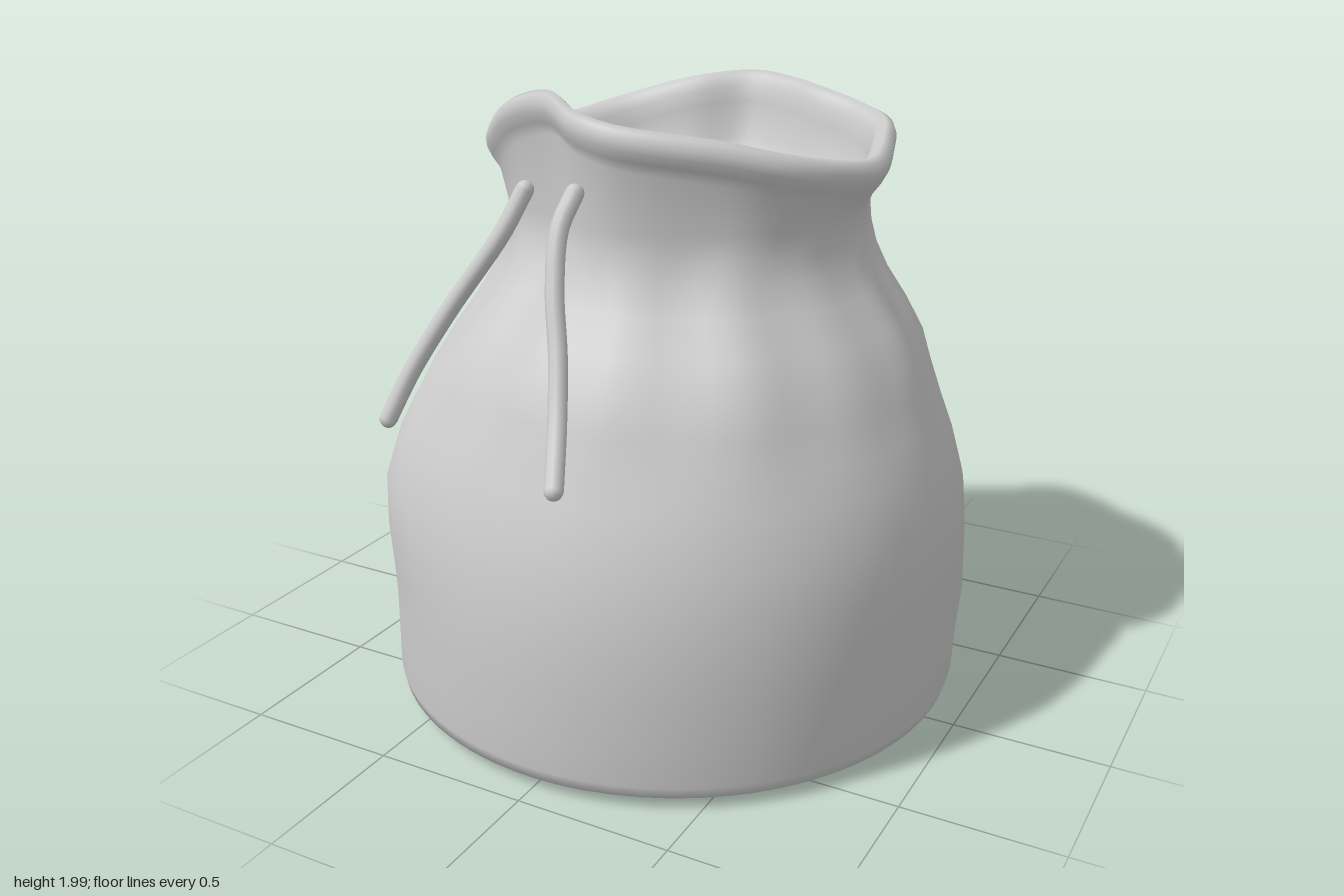
import * as THREE from 'three';

const material = new THREE.MeshStandardMaterial({ color: 0xcccccc, side: THREE.DoubleSide });
const COLS = 120;
const { lerp, smoothstep } = THREE.MathUtils;

// Wavy mouth of the sack, from the back round by the left side (+x)
const rim = new THREE.CatmullRomCurve3([
  [-0.06, 1.93, -0.71], [0.13, 1.92, -0.66], [0.25, 1.91, -0.59], [0.42, 1.88, -0.53],
  [0.55, 1.86, -0.42], [0.62, 1.84, -0.25], [0.68, 1.81, 0], [0.66, 1.82, 0.15],
  [0.55, 1.86, 0.35], [0.4, 1.9, 0.46], [0.1, 1.94, 0.575], [-0.05, 1.965, 0.55],
  [-0.2, 2.0, 0.46], [-0.36, 1.96, 0.42], [-0.47, 1.88, 0.35], [-0.6, 1.81, 0.15],
  [-0.63, 1.8, 0], [-0.62, 1.79, -0.1], [-0.64, 1.79, -0.32], [-0.5, 1.84, -0.5],
  [-0.25, 1.91, -0.61],
].map((p) => new THREE.Vector3(...p)), true);

// Cloth outline by height: y, reach to -x, +x, +z, -z
const BODY = [
  [0.005, 0.001, 0.001, 0.001, 0.001], [0.02, 0.6, 0.6, 0.6, 0.6], [0.035, 0.92, 0.9, 0.9, 0.93],
  [0.045, 0.945, 0.925, 0.93, 0.955], [0.08, 0.955, 0.935, 0.935, 0.965],
  [0.2, 0.95, 0.94, 0.94, 0.975], [0.35, 0.945, 0.955, 0.94, 0.98],
  [0.48, 0.945, 0.955, 0.935, 0.975], [0.6, 0.945, 0.955, 0.92, 0.965],
  [0.75, 0.925, 0.945, 0.89, 0.945], [0.9, 0.875, 0.905, 0.835, 0.91],
  [1.0, 0.83, 0.865, 0.795, 0.87], [1.1, 0.78, 0.825, 0.76, 0.825],
  [1.2, 0.715, 0.79, 0.72, 0.77], [1.3, 0.66, 0.75, 0.675, 0.715],
  [1.4, 0.615, 0.705, 0.63, 0.66], [1.48, 0.58, 0.66, 0.595, 0.61],
  [1.55, 0.565, 0.62, 0.56, 0.58], [1.62, 0.56, 0.605, 0.53, 0.575],
];

// Broad dents and bulges: direction (radians from +x towards +z), spread, depth, height, height spread
const DENTS = [
  [Math.PI, 0.4, -0.085, 0.65, 0.38],
  [2.36, 0.4, 0.06, 0.85, 0.3],
  [-2.36, 0.4, 0.025, 0.85, 0.35],
  [-0.79, 0.45, -0.04, 0.9, 0.35],
];

// Rolled lip and upper lining: scale of the mouth, drop below its crest
const LIP = [[0.93, 0.13], [0.97, 0.095], [0.995, 0.065], [1, 0.04], [0.985, 0.012], [0.95, 0],
  [0.91, 0.015], [0.885, 0.05], [0.87, 0.1]];
// Lining drawn into a funnel: scale of the mouth, height
const LINING = [[0.85, 1.66], [0.78, 1.61], [0.66, 1.55], [0.5, 1.47], [0.3, 1.38], [0.12, 1.32], [0.002, 1.3]];

// Joins closed rings of points into one smooth surface
function loft(name, rings) {
  const n = rings[0].length;
  const index = [];
  for (let i = 0; i < rings.length - 1; i++) {
    for (let j = 0; j < n; j++) {
      const a = i * n + j, b = i * n + (j + 1) % n;
      index.push(a, a + n, b, b, a + n, b + n);
    }
  }
  const geometry = new THREE.BufferGeometry().setFromPoints(rings.flat());
  geometry.setIndex(index);
  geometry.computeVertexNormals();
  const mesh = new THREE.Mesh(geometry, material);
  mesh.name = name;
  return mesh;
}

function dentScale(angle, y) {
  let scale = 1;
  for (const [direction, spread, depth, height, tall] of DENTS) {
    const turn = Math.acos(Math.cos(angle - direction));
    scale += depth * Math.exp(-((turn / spread) ** 2) - ((y - height) / tall) ** 2);
  }
  return scale;
}

function createSack() {
  const mouth = Array.from({ length: COLS }, (_, j) => rim.getPoint(j / COLS));
  const body = BODY.map(([y, right, left, front, back]) => mouth.map((p) => {
    const a = Math.atan2(p.z, p.x), c = Math.cos(a), s = Math.sin(a);
    // Gathers are strongest just below the neck
    const gather = smoothstep(y, 0.85, 1.35) * (1 - smoothstep(y, 1.45, 1.65));
    const fold = 1 + gather * (0.012 * Math.sin(9 * a + 0.6) + 0.012 * Math.sin(14 * a + 2));
    const k = fold * dentScale(a, y);
    const w = 0.9 * smoothstep(y, 1.2, 1.62);
    return new THREE.Vector3(
      lerp(c * (c > 0 ? left : right), p.x * 0.89, w) * k, y,
      lerp(s * (s > 0 ? front : back), p.z * 0.89, w) * k);
  }));
  const lip = LIP.map(([s, drop]) => mouth.map((p) => new THREE.Vector3(p.x * s, p.y - drop, p.z * s)));
  // The lining sits higher where the mouth does
  const lining = LINING.map(([s, y]) => mouth.map((p) =>
    new THREE.Vector3(p.x * s, y + 0.7 * s * (p.y - 1.85), p.z * s)));
  return loft('sack', [...body, ...lip, ...lining]);
}

// Star of pleats where the cloth is drawn together inside the mouth
function createPleats() {
  const pleats = 11, steps = 8;
  const rings = [1, 0.8, 0.6, 0.4, 0.2, 0.005].map((t) =>
    Array.from({ length: pleats * steps }, (_, j) => {
      const a = (j / (pleats * steps)) * Math.PI * 2;
      const wave = 1 - Math.abs(((j % steps) / steps) * 2 - 1);
      const side = Math.cos(a - 2.36);
      const reach = 0.4 - 0.06 * side + 0.04 * Math.sin(Math.floor(j / steps) * 2.4);
      const y = 1.34 + t * (0.06 + 0.19 * wave + 0.03 * side);
      return new THREE.Vector3(Math.cos(a) * reach * t, y, Math.sin(a) * reach * t - 0.02);
    }));
  return loft('innerPleats', rings);
}

// Round cord with rounded ends
function createCord(name, points) {
  const group = new THREE.Group();
  group.name = name;
  const curve = new THREE.CatmullRomCurve3(points.map((p) => new THREE.Vector3(...p)));
  group.add(new THREE.Mesh(new THREE.TubeGeometry(curve, 24, 0.028, 10), material));
  for (const t of [0, 1]) {
    const end = new THREE.Mesh(new THREE.SphereGeometry(0.028, 10, 8), material);
    end.position.copy(curve.getPoint(t));
    group.add(end);
  }
  return group;
}

export function createModel() {
  const model = new THREE.Group();
  model.name = 'drawstringSack';
  model.add(
    createSack(),
    createPleats(),
    createCord('rightDrawstring', [[-0.28, 1.7, 0.44], [-0.33, 1.57, 0.5], [-0.48, 1.33, 0.58],
      [-0.58, 1.14, 0.65], [-0.63, 1.0, 0.71]]),
    createCord('leftDrawstring', [[-0.05, 1.73, 0.53], [-0.06, 1.64, 0.6], [-0.03, 1.48, 0.68],
      [0.02, 1.32, 0.75], [0.07, 1.16, 0.84], [0.13, 1.01, 0.96]]),
  );
  return model;
}
